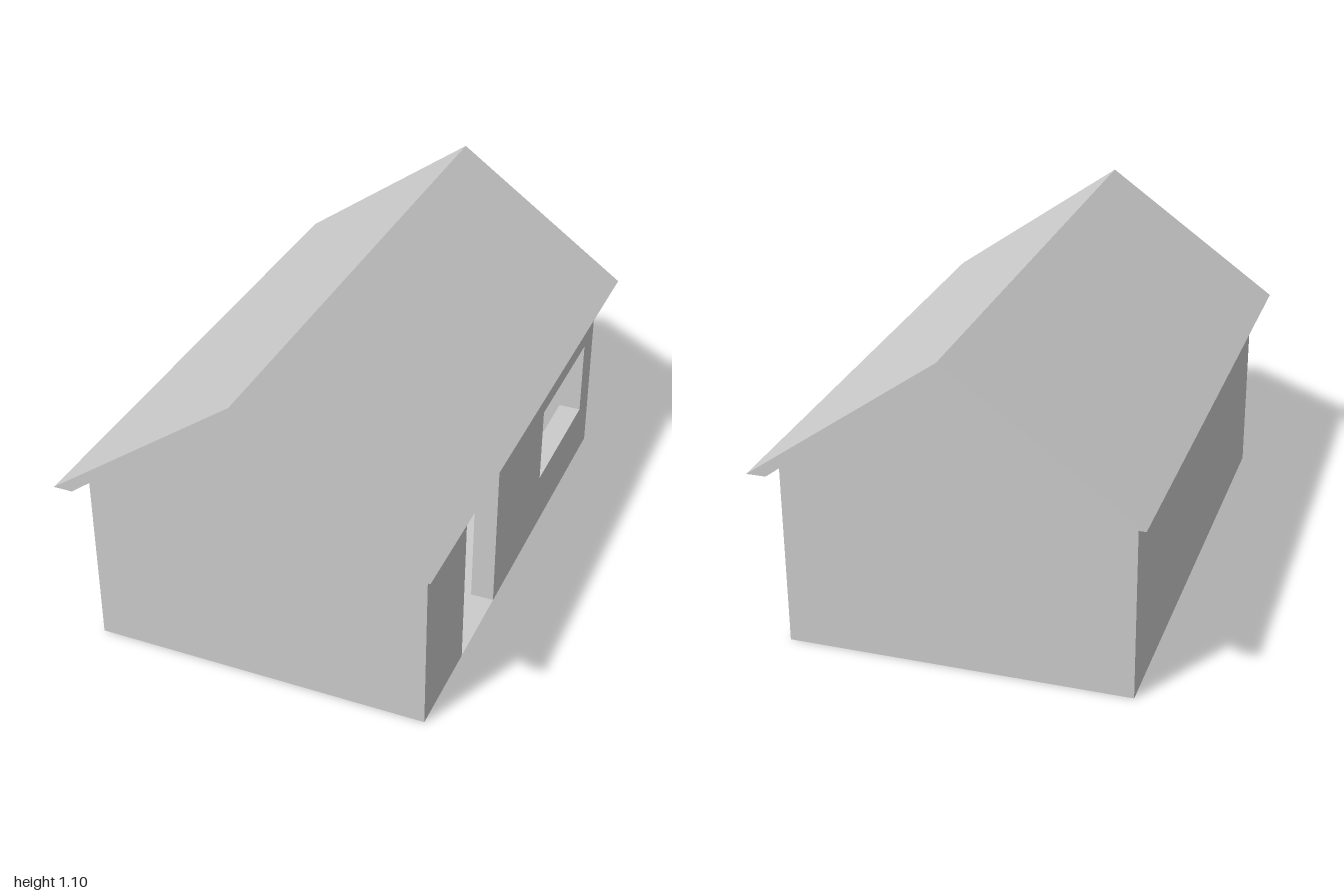
import * as THREE from 'three';

const W = 0.578, D = 0.88, T = 0.08;   // half width, half depth, wall thickness
const WALL_TOP = 0.575, SLAB_TOP = 0.66;

export function createModel() {
  const house = new THREE.Group();
  house.name = 'house';
  const mat = new THREE.MeshStandardMaterial({ color: 0xcccccc, flatShading: true });
  const thin = mat.clone();
  thin.side = THREE.DoubleSide;

  const add = (name, geometry, x, y, z, material = mat) => {
    const mesh = new THREE.Mesh(geometry, material);
    mesh.name = name;
    mesh.position.set(x, y, z);
    house.add(mesh);
    return mesh;
  };
  const polygon = (points) => new THREE.Shape(points.map(([x, y]) => new THREE.Vector2(x, y)));
  const extrude = (shape, depth) => new THREE.ExtrudeGeometry(shape, { depth, bevelEnabled: false });

  // Closed walls: front, back and the left-hand long side at -x
  const endWall = new THREE.BoxGeometry(2 * W, WALL_TOP, T);
  add('frontWall', endWall, 0, WALL_TOP / 2, D - T / 2);
  add('backWall', endWall, 0, WALL_TOP / 2, -D + T / 2);
  add('plainSideWall', new THREE.BoxGeometry(T, WALL_TOP, 2 * (D - T)), -W + T / 2, WALL_TOP / 2, 0);

  // Side wall with a full-height doorway and a window, drawn in (-z, y)
  const E = D - T;
  const side = polygon([
    [-E, 0], [-0.535, 0], [-0.535, WALL_TOP], [-E, WALL_TOP],
  ]);
  const windowSide = polygon([[-0.22, 0], [E, 0], [E, WALL_TOP], [-0.22, WALL_TOP]]);
  windowSide.holes.push(polygon([[0.27, 0.2], [0.27, 0.48], [0.77, 0.48], [0.77, 0.2]]));
  for (const [name, shape] of [['doorSideWall', side], ['windowSideWall', windowSide]]) {
    add(name, extrude(shape, T), W - T, 0, 0).rotation.y = Math.PI / 2;
  }

  // Thin floor and ceiling slab
  add('floor', new THREE.PlaneGeometry(2 * W, 2 * D).rotateX(-Math.PI / 2), 0, 0.001, 0, thin);
  add('ceilingSlab', new THREE.BoxGeometry(2 * W, SLAB_TOP - WALL_TOP, 2 * D),
    0, (SLAB_TOP + WALL_TOP) / 2, 0);

  // Gable block under the roof, flush with the end walls
  add('gable', extrude(polygon([[-0.565, 0.655], [0.565, 0.655], [0, 1.075]]), 2 * D), 0, 0, -D);

  // Pitched roof shell overhanging both ends
  const roof = polygon([
    [-0.63, 0.655], [-0.565, 0.655], [0, 1.077], [0.565, 0.655], [0.63, 0.655], [0, 1.103],
  ]);
  add('roof', extrude(roof, 2), 0, 0, -1);

  return house;
}
